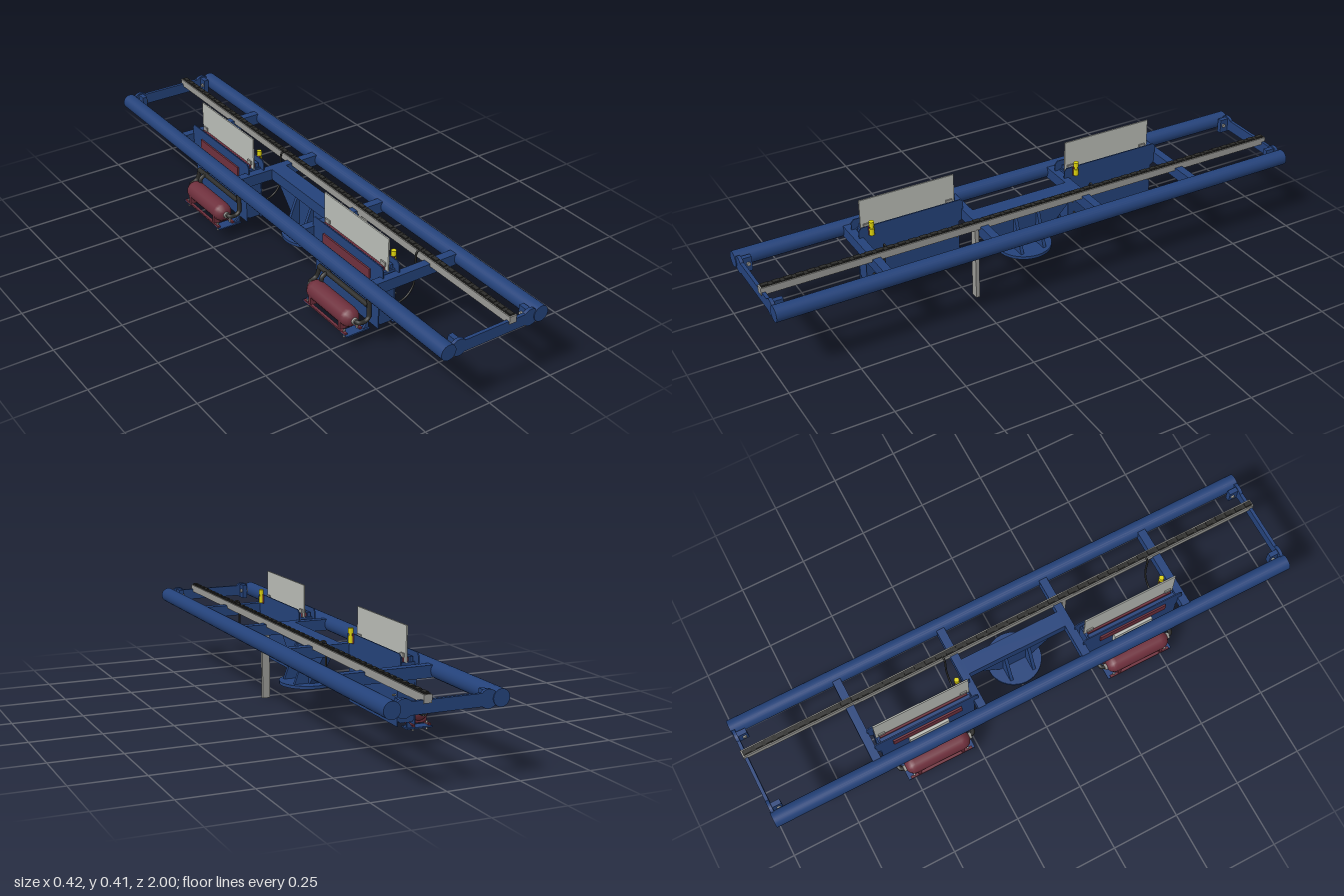
import * as THREE from 'three';

const mat = (name, color) => {
  const m = new THREE.MeshStandardMaterial({ color });
  m.name = name;
  return m;
};

export function createModel() {
  const blue = mat('frame blue', 0x24427a);
  const red = mat('tank maroon', 0x6e2f3c);
  const grey = mat('steel grey', 0x999995);
  const pale = mat('gate pale grey', 0xb9bcb6);
  const black = mat('hose black', 0x2b2b29);
  const yellow = mat('valve yellow', 0xdcd20a);

  const root = new THREE.Group();
  root.name = 'sluiceFrame';

  const add = (parent, name, geo, material, x = 0, y = 0, z = 0) => {
    const m = new THREE.Mesh(geo, material);
    m.name = name;
    m.position.set(x, y, z);
    parent.add(m);
    return m;
  };
  // Box given by its limits on each axis
  const box = (parent, name, material, x0, x1, y0, y1, z0, z1) =>
    add(parent, name, new THREE.BoxGeometry(x1 - x0, y1 - y0, z1 - z0), material,
      (x0 + x1) / 2, (y0 + y1) / 2, (z0 + z1) / 2);
  // Cylinder along the chosen axis
  const cyl = (parent, name, material, r, len, axis, x, y, z, sides = 20) => {
    const g = new THREE.CylinderGeometry(r, r, len, sides);
    if (axis === 'x') g.rotateZ(Math.PI / 2);
    if (axis === 'z') g.rotateX(Math.PI / 2);
    return add(parent, name, g, material, x, y, z);
  };
  const hose = (parent, name, material, r, pts, n = 32) =>
    add(parent, name, new THREE.TubeGeometry(
      new THREE.CatmullRomCurve3(pts.map(p => new THREE.Vector3(...p)), false, 'centripetal'), n, r, 10), material);
  // Outline extruded symmetrically, either along z or along x (outline then in z, y)
  const slab = (parent, name, material, pts, t, along, x = 0, y = 0, z = 0) => {
    const s = new THREE.Shape(pts.map(p => new THREE.Vector2(...p)));
    const g = new THREE.ExtrudeGeometry(s, { depth: t, bevelEnabled: false });
    g.translate(0, 0, -t / 2);
    if (along === 'x') g.rotateY(-Math.PI / 2);
    return add(parent, name, g, material, x, y, z);
  };

  // Long side tubes
  cyl(root, 'rightSideTube', blue, 0.028, 2, 'z', -0.177, 0.264, 0, 24);
  cyl(root, 'leftSideTube', blue, 0.028, 2, 'z', 0.183, 0.264, 0, 24);

  // Cross beams and centre beam
  for (const z of [-0.605, -0.205, 0.2, 0.6])
    box(root, 'crossBeam', blue, -0.17, 0.175, 0.242, 0.283, z - 0.015, z + 0.015);
  box(root, 'centreBeam', blue, -0.03, 0.03, 0.242, 0.283, -0.2, 0.2);

  // End plates with round bosses and pinned lugs
  for (const s of [-1, 1]) {
    box(root, 'endPlate', blue, -0.17, 0.175, 0.242, 0.283, s * 0.991 - 0.006, s * 0.991 + 0.006);
    for (const x of [-0.135, 0.143]) {
      cyl(root, 'endBoss', blue, 0.03, 0.012, 'z', x, 0.264, s * 0.991);
      box(root, 'endLug', blue, x - 0.009, x + 0.009, 0.235, 0.288, s * 0.97 - 0.018, s * 0.97 + 0.018);
      cyl(root, 'lugPin', grey, 0.007, 0.03, 'x', x, 0.264, s * 0.965, 12);
    }
  }

  // Pedestal: sloped core, side gussets and round foot
  slab(root, 'pedestalCore', blue,
    [[-0.06, 0.112], [0.06, 0.112], [0.185, 0.243], [-0.185, 0.243]], 0.034, 'x', 0.004);
  for (const z of [-0.045, 0.045])
    slab(root, 'pedestalGusset', blue,
      [[-0.07, 0.112], [0.074, 0.112], [0.026, 0.243], [-0.02, 0.243]], 0.012, 'z', 0, 0, z);
  cyl(root, 'footFlange', blue, 0.1, 0.011, 'y', 0.003, 0.107, 0, 36);

  // Rail with its drag chain, and the hanging post
  box(root, 'rail', grey, 0.055, 0.082, 0.273, 0.299, -1, 1);
  box(root, 'chainBed', black, 0.059, 0.078, 0.298, 0.302, -0.995, 0.995);
  for (let i = 0; i < 50; i++)
    box(root, 'chainLink', black, 0.061, 0.076, 0.3, 0.305, -0.99 + i * 0.04, -0.965 + i * 0.04);
  box(root, 'hangingPost', grey, 0.055, 0.083, 0, 0.275, 0.222, 0.236);

  // Tank profile with domed ends
  const tankProfile = [[0, -0.125], [0.013, -0.123], [0.025, -0.116], [0.033, -0.104], [0.035, -0.09],
    [0.035, 0.09], [0.033, 0.104], [0.025, 0.116], [0.013, 0.123], [0, 0.125]]
    .map(p => new THREE.Vector2(...p));

  const buildUnit = zc => {
    const u = new THREE.Group();
    u.name = 'gateUnit';
    u.position.z = zc;
    root.add(u);

    // Housing with a rounded lower edge
    slab(u, 'housing', blue, [[-0.118, 0.098], [-0.11, 0.09], [-0.067, 0.09], [-0.059, 0.098],
      [-0.059, 0.288], [-0.118, 0.288]], 0.35, 'z');
    // Face plates, wider above with clipped corners
    const face = [[-0.178, 0.08], [0.178, 0.08], [0.178, 0.235], [0.196, 0.245], [0.196, 0.31],
      [0.186, 0.321], [-0.186, 0.321], [-0.196, 0.31], [-0.196, 0.245], [-0.178, 0.235]];
    slab(u, 'innerFacePlate', blue, face, 0.004, 'x', -0.057);
    slab(u, 'outerFacePlate', blue, face, 0.004, 'x', -0.12);

    // Slot lips, seals and sliding gate
    for (const s of [-1, 1]) {
      box(u, 'slotLip', blue, -0.0885 + s * 0.019 - 0.006, -0.0885 + s * 0.019 + 0.006, 0.287, 0.304, -0.17, 0.17);
      box(u, 'slotSeal', red, -0.087 + s * 0.008 - 0.004, -0.087 + s * 0.008 + 0.004, 0.287, 0.302, -0.165, 0.165);
      box(u, 'gateClip', grey, -0.094, -0.079, 0.302, 0.316, s * 0.155 - 0.012, s * 0.155 + 0.012);
    }
    box(u, 'gate', pale, -0.089, -0.084, 0.287, 0.408, -0.177, 0.177);

    // Bolts under and beside the housing
    for (const z of [-0.14, 0, 0.14]) {
      for (const x of [-0.1, -0.088, -0.076]) cyl(u, 'lowerBolt', grey, 0.004, 0.008, 'y', x, 0.088, z, 8);
      cyl(u, 'sideBolt', grey, 0.004, 0.012, 'x', -0.052, 0.102, z, 8);
    }
    for (const z of [-0.165, 0.165]) cyl(u, 'faceBolt', grey, 0.003, 0.016, 'x', -0.051, 0.183, z, 8);

    // Control boxes and manifold on the outer face
    box(u, 'controlBox', pale, -0.136, -0.121, 0.185, 0.243, -0.075, 0.075);
    box(u, 'controlBand', red, -0.128, -0.121, 0.25, 0.285, -0.13, 0.13);
    cyl(u, 'manifold', black, 0.009, 0.28, 'z', -0.135, 0.155, 0);

    // Pressure tank
    const tg = new THREE.LatheGeometry(tankProfile, 16);
    tg.rotateX(Math.PI / 2);
    add(u, 'tank', tg, red, -0.177, 0.102, 0);
    for (const s of [-1, 1]) {
      slab(u, 'tankSaddle', red, [[-0.21, 0.058], [-0.143, 0.058], [-0.143, 0.095], [-0.21, 0.095]],
        0.012, 'z', 0, 0, s * 0.085);
      for (const x of [-0.203, -0.152]) cyl(u, 'tankBolt', grey, 0.004, 0.03, 'y', x, 0.052, s * 0.105, 8);
      slab(u, 'shelfGusset', blue, [[-0.143, 0.053], [-0.12, 0.053], [-0.12, 0.082]], 0.008, 'z', 0, 0, s * 0.12);
      box(u, 'shelfArm', blue, -0.21, -0.118, 0.05, 0.055, s * 0.11 - 0.02, s * 0.11 + 0.02);
      cyl(u, 'tankPort', grey, 0.012, 0.012, 'z', -0.177, 0.102, s * 0.126, 12);
    }
    for (const x of [-0.206, -0.147])
      box(u, 'tankFootRail', red, x - 0.005, x + 0.005, 0.055, 0.061, -0.12, 0.12);

    // Thick hoses from tank to manifold
    hose(u, 'tankHose', black, 0.008, [[-0.177, 0.102, 0.125], [-0.172, 0.102, 0.142], [-0.15, 0.102, 0.145],
      [-0.136, 0.112, 0.145], [-0.132, 0.135, 0.142], [-0.131, 0.185, 0.135]]);
    hose(u, 'returnHose', black, 0.008, [[-0.16, 0.128, -0.09], [-0.158, 0.144, -0.09],
      [-0.148, 0.153, -0.09], [-0.125, 0.156, -0.09]], 20);
    hose(u, 'rearHose', black, 0.008, [[-0.177, 0.102, -0.125], [-0.17, 0.104, -0.142],
      [-0.145, 0.115, -0.143], [-0.135, 0.155, -0.135]], 20);

    // Yellow valve on the inner face
    box(u, 'valveMount', red, -0.056, -0.05, 0.288, 0.322, 0.142, 0.162);
    cyl(u, 'valveBody', yellow, 0.009, 0.025, 'y', -0.048, 0.302, 0.152, 14);
    cyl(u, 'valveNeck', yellow, 0.006, 0.03, 'y', -0.048, 0.318, 0.152, 14);
    cyl(u, 'valveCap', yellow, 0.009, 0.018, 'y', -0.048, 0.332, 0.152, 14);

    // Thin supply hose looping up to the chain
    hose(u, 'supplyHose', black, 0.0035, [[-0.057, 0.13, 0.152], [-0.02, 0.131, 0.152], [0.01, 0.142, 0.152],
      [0.034, 0.17, 0.152], [0.043, 0.21, 0.152], [0.044, 0.295, 0.152], [0.049, 0.304, 0.152],
      [0.062, 0.303, 0.152]], 48);
  };
  buildUnit(0.404);
  buildUnit(-0.398);

  return root;
}
